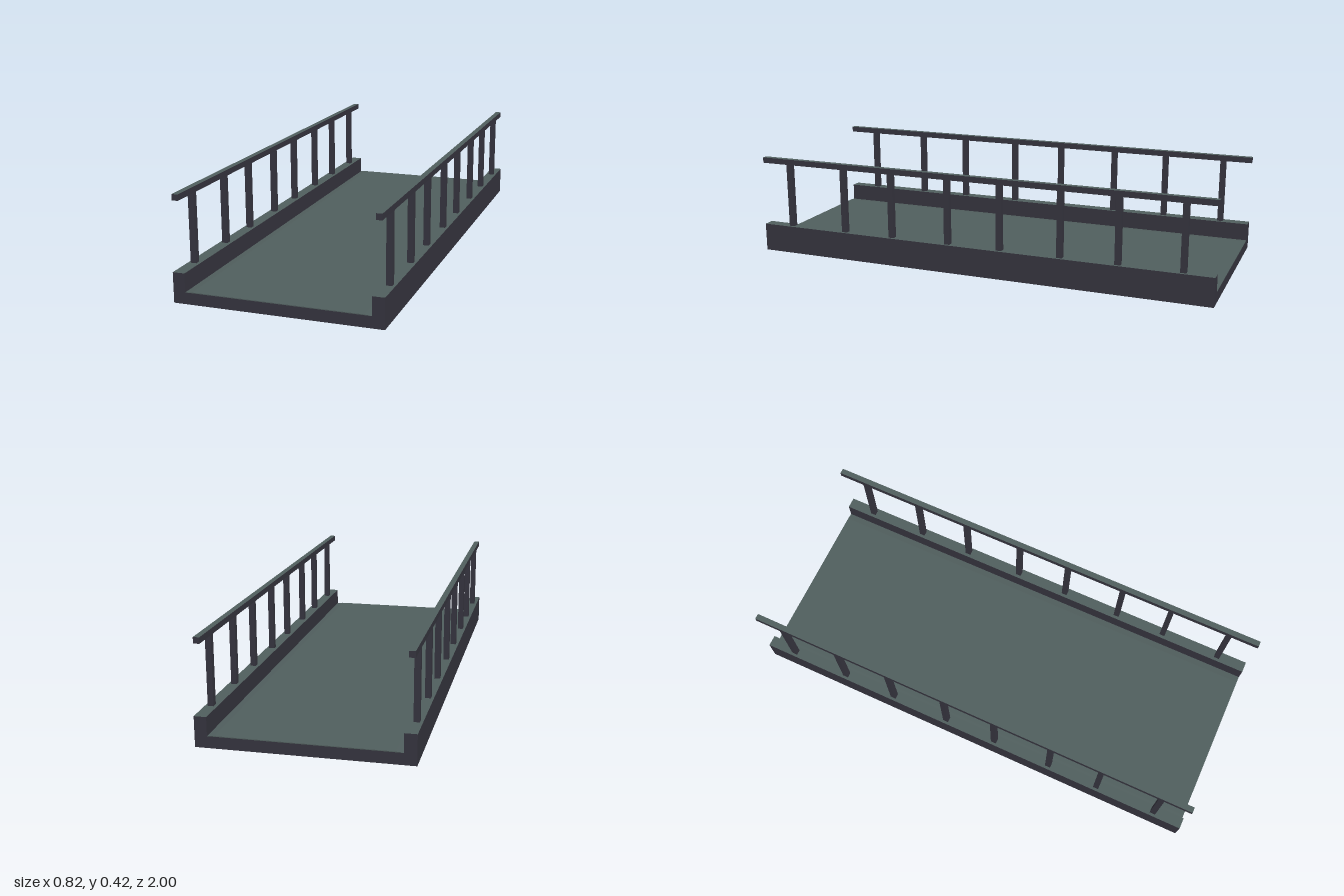
import * as THREE from 'three';

export function createModel() {
  const model = new THREE.Group();
  model.name = 'footbridge';

  const dark = new THREE.MeshStandardMaterial({ color: 0x35343e });
  dark.name = 'dark steel';
  const green = new THREE.MeshStandardMaterial({ color: 0x505e5d });
  green.name = 'grey green paint';
  const topPainted = [dark, dark, green, dark, dark, dark];

  // Box given by its size and centre, standing on the height y
  function box(name, w, h, d, x, y, z, material) {
    const mesh = new THREE.Mesh(new THREE.BoxGeometry(w, h, d), material);
    mesh.name = name;
    mesh.position.set(x, y + h / 2, z);
    model.add(mesh);
  }

  // Floor slab with a thin, slightly raised walking surface
  box('floorSlab', 0.728, 0.046, 2, 0, 0, 0, dark);
  const crown = new THREE.Shape([
    new THREE.Vector2(-0.364, 0.046),
    new THREE.Vector2(0.364, 0.046),
    new THREE.Vector2(0.335, 0.049),
    new THREE.Vector2(-0.335, 0.049),
  ]);
  const deckGeometry = new THREE.ExtrudeGeometry(crown, { depth: 2, bevelEnabled: false });
  deckGeometry.translate(0, 0, -1);
  const deck = new THREE.Mesh(deckGeometry, green);
  deck.name = 'deckSurface';
  model.add(deck);

  // Kerb, handrail and posts on each side
  const postZ = [0.87, 0.605, 0.378, 0.118, -0.115, -0.375, -0.615, -0.875];
  for (const [side, s] of [['left', 1], ['right', -1]]) {
    box(side + 'Kerb', 0.048, 0.12, 2, s * 0.388, 0, 0, topPainted);
    box(side + 'Handrail', 0.024, 0.024, 2, s * 0.389, 0.396, 0, topPainted);
    postZ.forEach((z, i) =>
      box(side + 'Post' + (i + 1), 0.023, 0.276, 0.024, s * 0.389, 0.12, z, dark));
  }

  return model;
}
